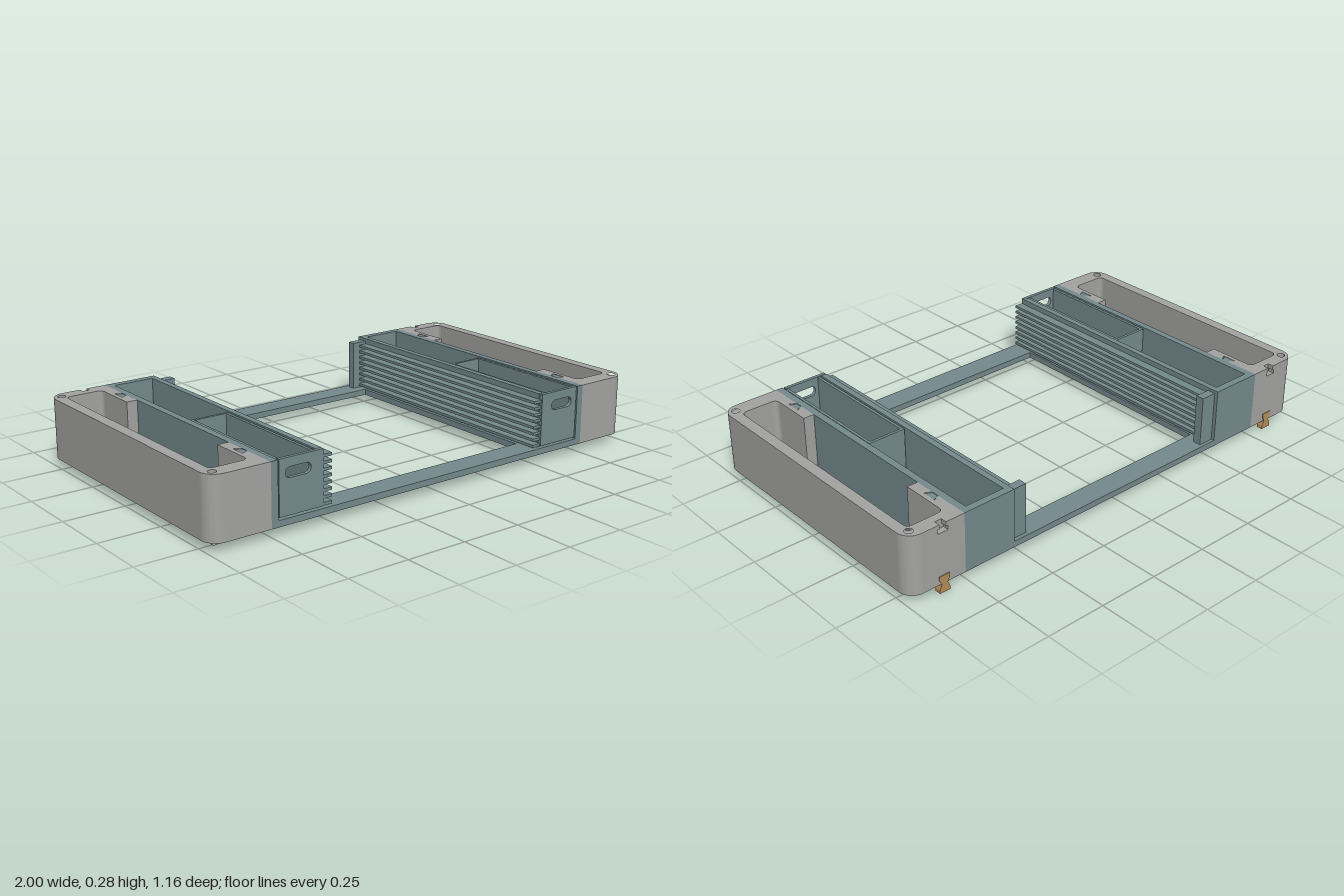
import * as THREE from 'three';

const grey = new THREE.MeshStandardMaterial({ color: 0xa3a3a1 });
grey.name = 'grey';
const teal = new THREE.MeshStandardMaterial({ color: 0x748a8d });
teal.name = 'slate teal';
const tan = new THREE.MeshStandardMaterial({ color: 0xb48e58 });
tan.name = 'tan';

const BOTTOM = 0.035, FLOOR = 0.06, TOP = 0.28;
const Z = 0.58;

// Box given by its limits
function box(parent, name, mat, [x0, x1], [y0, y1], [z0, z1]) {
  const m = new THREE.Mesh(new THREE.BoxGeometry(Math.abs(x1 - x0), y1 - y0, z1 - z0), mat);
  m.position.set((x0 + x1) / 2, (y0 + y1) / 2, (z0 + z1) / 2);
  m.name = name;
  parent.add(m);
}

// Plan outline (x, z) raised from y0 to y1
function slab(parent, name, mat, shape, y0, y1) {
  const g = new THREE.ExtrudeGeometry(shape, { depth: y1 - y0, bevelEnabled: false, curveSegments: 10 });
  g.rotateX(-Math.PI / 2);
  const m = new THREE.Mesh(g, mat);
  m.position.y = y0;
  m.name = name;
  parent.add(m);
}

const dovetail = (z, d) => [[0.755, z - 0.016 * d], [0.782, z - 0.03 * d], [0.782, z + 0.03 * d], [0.755, z + 0.016 * d]];
const arc = (cx, cz, r, a0, a1, n = 10) => Array.from({ length: n + 1 }, (_, i) => {
  const a = a0 + (a1 - a0) * i / n;
  return [cx + r * Math.cos(a), cz + r * Math.sin(a)];
});
const path = (pts, s, Type = THREE.Shape) => new Type(pts.map(([x, z]) => new THREE.Vector2(s * x, -z)));

// Outer edge of a side frame, with an optional notch in the rear wall
function outerEdge(notch) {
  const r = 0.06, h = Math.PI / 2;
  const cut = notch ? [[0.85 - notch, -Z], [0.85 - notch, -0.555], [0.85 + notch, -0.555], [0.85 + notch, -Z]] : [];
  return [[0.755, -Z], ...cut, ...arc(1 - r, -Z + r, r, -h, 0), ...arc(1 - r, Z - r, r, 0, h), [0.755, Z]];
}

// C-shaped wall of a side frame, open towards the storage bay
function wallShape(s, notch, screwHoles) {
  const h = Math.PI / 2, r = 0.02;
  const shape = path([
    ...outerEdge(notch),
    ...dovetail(0.42, 1).reverse(), [0.755, 0.32], [0.80, 0.32],
    ...arc(0.82, 0.49, r, 2 * h, h, 4), ...arc(0.935, 0.49, r, h, 0, 4),
    ...arc(0.935, -0.50, r, 0, -h, 4), ...arc(0.82, -0.50, r, -h, -2 * h, 4),
    [0.80, -0.32], [0.755, -0.32], ...dovetail(-0.42, 1).reverse(),
  ], s);
  if (screwHoles) {
    for (const z of [-0.54, 0.54]) shape.holes.push(path(arc(0.963, z, 0.016, 0, 2 * Math.PI, 16).slice(0, -1), s, THREE.Path));
  }
  return shape;
}

function sideFrame(s) {
  const g = new THREE.Group();
  g.name = 'sideFrame';
  // Floor with the large through opening
  const floor = path([...outerEdge(0), [0.755, 0.315], [0.955, 0.315], [0.955, -0.315], [0.755, -0.315]], s);
  slab(g, 'frameFloor', grey, floor, BOTTOM, FLOOR);
  // Walls in layers, so the rear notch is wider below than at the rim
  slab(g, 'frameWall', grey, wallShape(s, 0, false), FLOOR, 0.245);
  slab(g, 'notchLayer', grey, wallShape(s, 0.022, false), 0.245, 0.262);
  slab(g, 'frameRim', grey, wallShape(s, 0.014, true), 0.262, TOP);
  // Locating pegs
  for (const z of [-0.54, 0.54]) {
    const peg = new THREE.Mesh(new THREE.CylinderGeometry(0.011, 0.011, 0.015, 16), grey);
    peg.position.set(s * 0.963, 0.0285, z);
    peg.name = 'peg';
    g.add(peg);
  }
  // Bow-tie clip under the rear wall
  const w = 0.023, n = 0.013;
  const clip = new THREE.Shape([[-w, 0], [w, 0], [w, 0.015], [n, 0.035], [w, 0.055], [w, 0.07],
    [-w, 0.07], [-w, 0.055], [-n, 0.035], [-w, 0.015]].map(p => new THREE.Vector2(...p)));
  const m = new THREE.Mesh(new THREE.ExtrudeGeometry(clip, { depth: 0.025, bevelEnabled: false }), tan);
  m.position.set(s * 0.85, 0, -0.583);
  m.name = 'clip';
  g.add(m);
  return g;
}

function drawer(s) {
  const g = new THREE.Group();
  g.name = 'drawer';
  const x0 = 0.559, x1 = 0.721, y0 = 0.068, t = 0.012;
  box(g, 'drawerFloor', teal, [s * x0, s * x1], [y0, y0 + t], [0.01, 0.565]);
  box(g, 'drawerBack', teal, [s * x0, s * x1], [y0 + t, 0.276], [0.01, 0.022]);
  for (const x of [x0, x1 - t]) box(g, 'drawerSide', teal, [s * x, s * (x + t)], [y0 + t, 0.276], [0.022, 0.565]);
  // Front panel with a rounded handle slot
  const front = new THREE.Shape([[0.532, y0], [0.721, y0], [0.721, TOP], [0.532, TOP]].map(([x, y]) => new THREE.Vector2(s * x, y)));
  const slot = new THREE.Path();
  const cx = s * 0.64, cy = 0.225, hw = 0.035, r = 0.02;
  slot.absarc(cx + hw, cy, r, -Math.PI / 2, Math.PI / 2);
  slot.absarc(cx - hw, cy, r, Math.PI / 2, Math.PI * 1.5);
  front.holes.push(slot);
  const m = new THREE.Mesh(new THREE.ExtrudeGeometry(front, { depth: 0.015, bevelEnabled: false }), teal);
  m.position.z = 0.563;
  m.name = 'drawerFront';
  g.add(m);
  return g;
}

function storageBay(s) {
  const g = new THREE.Group();
  g.name = 'storageBay';
  const X = (a, b) => [s * a, s * b];
  box(g, 'bayFloor', teal, X(0.495, 0.755), [BOTTOM, FLOOR], [-Z, Z]);
  box(g, 'bayOuterWall', teal, X(0.726, 0.755), [FLOOR, TOP], [-Z, Z]);
  box(g, 'bayInnerWall', teal, X(0.53, 0.555), [FLOOR, TOP], [-Z, 0.561]);
  box(g, 'bayRearWall', teal, X(0.555, 0.726), [FLOOR, TOP], [-Z, -0.55]);
  // Dovetail keys that hold the side frame
  for (const z of [-0.42, 0.42]) slab(g, 'dovetailKey', teal, path(dovetail(z, 0.88), s), BOTTOM + 0.02, TOP - 0.002);
  // Horizontal rack rails
  for (let i = 0; i < 8; i++) {
    const y = 0.068 + i * 0.0255;
    box(g, 'rackRail', teal, X(0.493, 0.53), [y, y + 0.011], [-0.525, 0.575]);
  }
  // Rear stop for the rack
  box(g, 'rackStop', teal, X(0.463, 0.53), [FLOOR, 0.268], [-0.565, -0.53]);
  g.add(drawer(s));
  return g;
}

export function createModel() {
  const model = new THREE.Group();
  model.name = 'storageFrame';
  for (const s of [-1, 1]) model.add(sideFrame(s), storageBay(s));
  // Cross strips joining the two bays
  box(model, 'frontStrip', teal, [-0.495, 0.495], [BOTTOM, FLOOR], [0.48, Z]);
  box(model, 'rearStrip', teal, [-0.495, 0.495], [BOTTOM, FLOOR], [-Z, -0.485]);
  return model;
}
